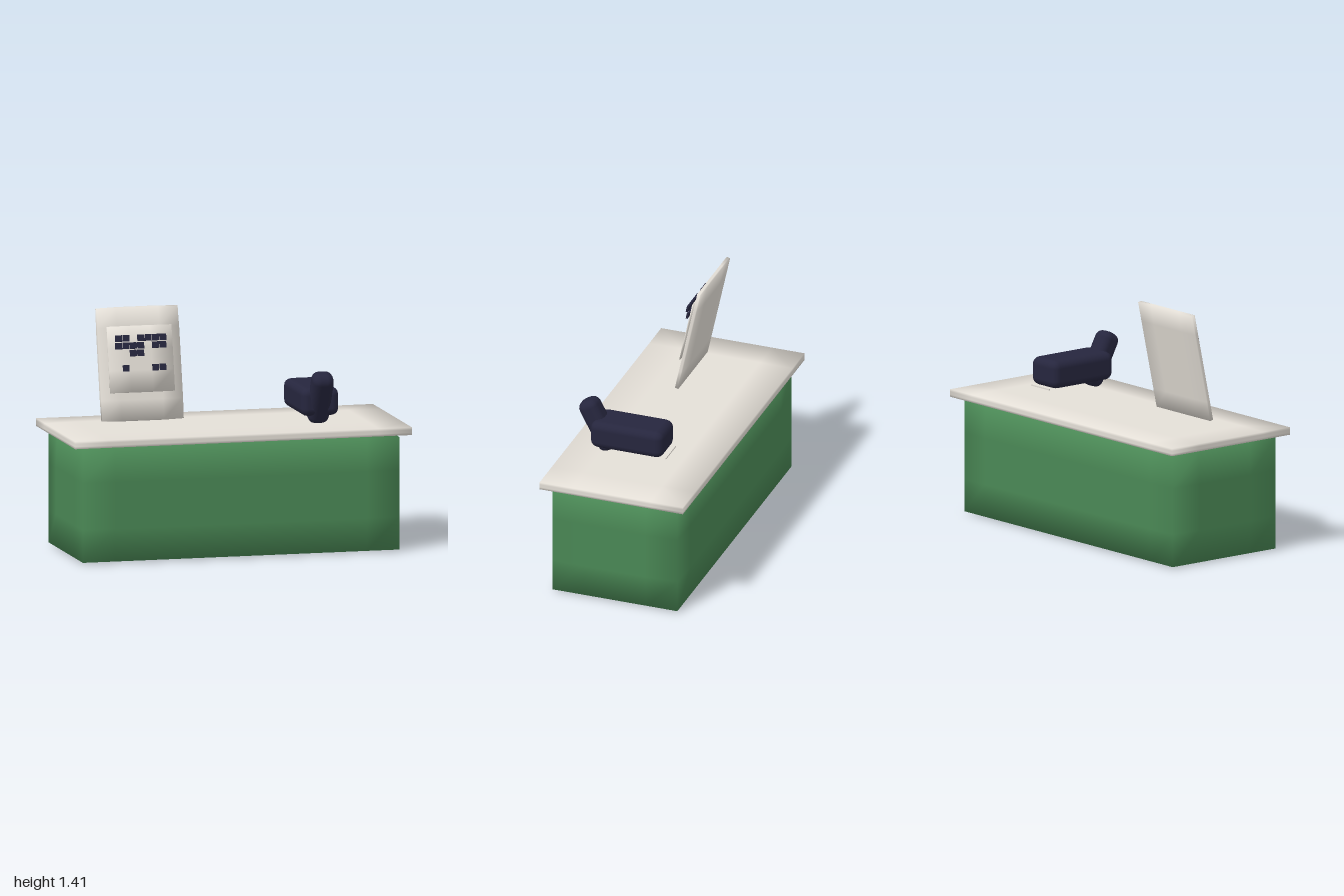
import * as THREE from 'three';
import { RoundedBoxGeometry } from 'three/addons/geometries/RoundedBoxGeometry.js';

const green = new THREE.MeshStandardMaterial({ name: 'counter green', color: 0x4a8855 });
const white = new THREE.MeshStandardMaterial({ name: 'warm white', color: 0xe4dfd7 });
const navy = new THREE.MeshStandardMaterial({ name: 'dark navy', color: 0x26263e });

// Pillow-shaded box: edges pulled in slightly, normals blended across edges.
function softBox(w, h, d, inset, pull) {
  const geo = new THREE.BoxGeometry(w, h, d, 3, 3, 3);
  const pos = geo.attributes.position;
  const size = [w, h, d];
  for (let i = 0; i < pos.count; i++) {
    const p = [pos.getX(i), pos.getY(i), pos.getZ(i)];
    const n = p.map((v, a) => (Math.abs(v) > size[a] * 0.45 ? Math.sign(v) : 0));
    const onEdge = n.filter((v) => v !== 0).length > 1;
    const q = p.map((v, a) => {
      if (n[a]) return v - (onEdge ? n[a] * pull : 0);
      return Math.sign(v) * (size[a] / 2 - Math.min(inset, size[a] / 3));
    });
    pos.setXYZ(i, ...q);
    const normal = new THREE.Vector3(...n).normalize();
    geo.attributes.normal.setXYZ(i, normal.x, normal.y, normal.z);
  }
  return geo;
}

function add(parent, name, geo, material, x, y, z, tilt = 0) {
  const mesh = new THREE.Mesh(geo, material);
  mesh.name = name;
  mesh.position.set(x, y, z);
  mesh.rotation.x = tilt;
  parent.add(mesh);
  return mesh;
}

export function createModel() {
  const model = new THREE.Group();
  model.name = 'serviceCounter';

  // Counter body and top
  add(model, 'counterBase', softBox(1.89, 0.67, 0.78, 0.2, 0.009), green, 0, 0.335, 0);
  add(model, 'counterTop', softBox(2, 0.05, 0.88, 0.2, 0.003), white, 0, 0.7, 0);

  // Leaning sign with a raised panel
  const sign = new THREE.Group();
  sign.name = 'sign';
  model.add(sign);
  const lean = -0.213;
  add(sign, 'signBoard', softBox(0.49, 0.655, 0.03, 0.12, 0.004), white, -0.5, 1.087, 0, lean);
  add(sign, 'signPanel', softBox(0.385, 0.383, 0.008, 0.13, 0.001), white, -0.5, 1.118, 0.028, lean);

  // Square marks on the sign
  const rows = ['##.####', '###' + '#.##', '..##...', '.......', '.#...##'];
  const mark = new THREE.BoxGeometry(0.039, 0.037, 0.011);
  rows.forEach((row, r) => {
    [...row].forEach((cell, c) => {
      if (cell === '#') add(sign, 'signMark', mark, navy, -0.634 + c * 0.0436, 1.242 - r * 0.0436, 0.039, lean);
    });
  });

  // Hand-held scanner lying on the counter
  const scanner = new THREE.Group();
  scanner.name = 'scanner';
  model.add(scanner);
  add(scanner, 'scannerBody', new RoundedBoxGeometry(0.225, 0.165, 0.445, 2, 0.045), navy, 0.5, 0.863, 0.058);
  add(scanner, 'scannerHandle', new RoundedBoxGeometry(0.125, 0.325, 0.12, 2, 0.045), navy, 0.5, 0.89, 0.257, 0.49);
  add(scanner, 'scannerBeam', new THREE.BoxGeometry(0.165, 0.008, 0.008), white, 0.5, 0.783, -0.177);

  return model;
}
